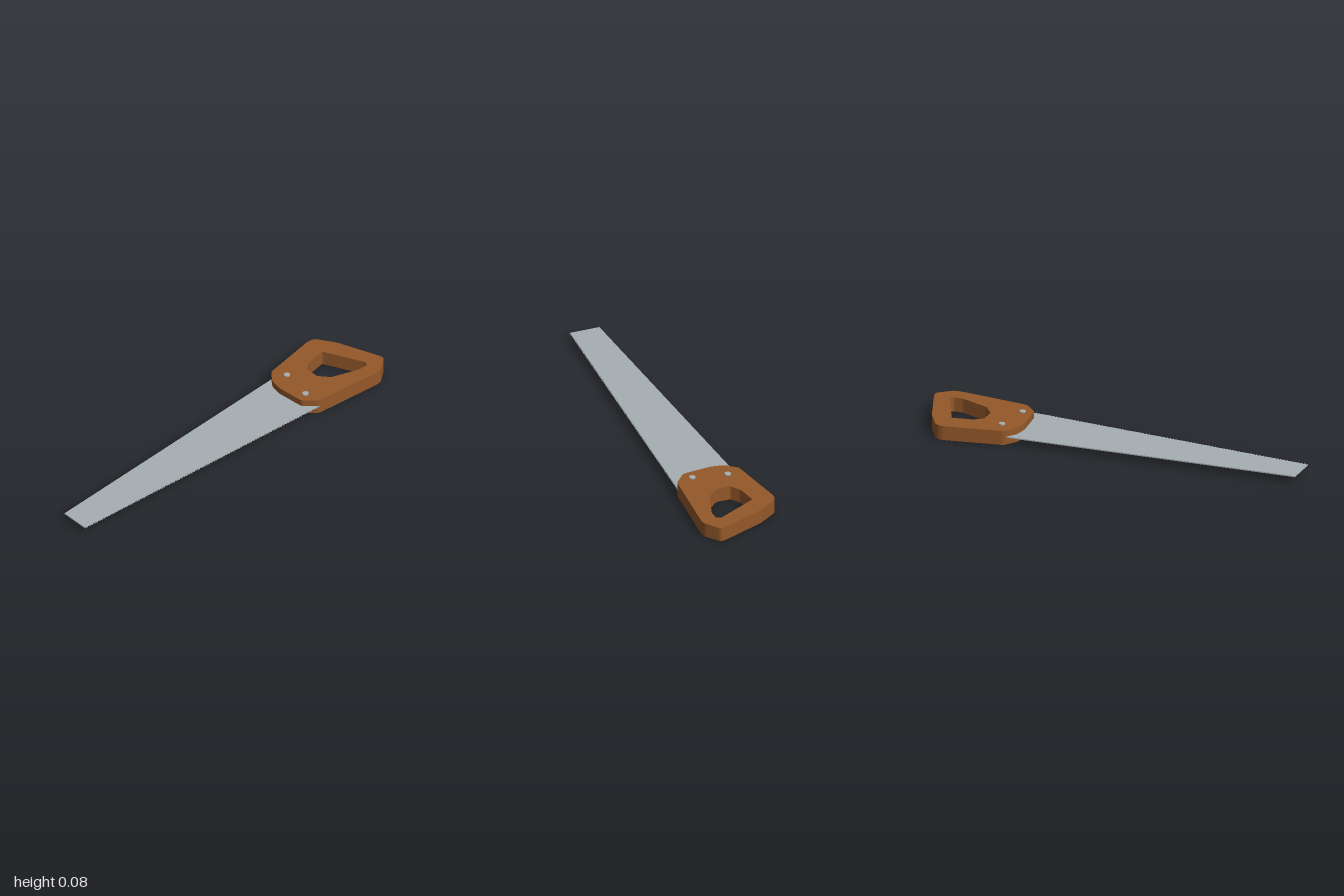
import * as THREE from 'three';

// Closed outline through [x, z] points, with each corner rounded by up to r
function trace(path, points, r) {
  const pts = points.map(([x, z]) => new THREE.Vector2(x, -z));
  const toward = (a, b) => a.clone().lerp(b, Math.min(0.45, r / a.distanceTo(b)));
  pts.forEach((p, i) => {
    const start = toward(p, pts.at(i - 1));
    const end = toward(p, pts[(i + 1) % pts.length]);
    if (i === 0) path.moveTo(start.x, start.y);
    else path.lineTo(start.x, start.y);
    path.quadraticCurveTo(p.x, p.y, end.x, end.y);
  });
  path.closePath();
  return path;
}

// Flat slab lifted between two heights
function slab(name, shape, y0, y1, material) {
  const geo = new THREE.ExtrudeGeometry(shape, { depth: y1 - y0, bevelEnabled: false, curveSegments: 4 });
  geo.rotateX(-Math.PI / 2).translate(0, y0, 0);
  const mesh = new THREE.Mesh(geo, material);
  mesh.name = name;
  return mesh;
}

export function createModel() {
  const wood = new THREE.MeshStandardMaterial({ name: 'brown wood', color: 0x945829 });
  const steel = new THREE.MeshStandardMaterial({ name: 'grey steel', color: 0xa6afb2 });
  const group = new THREE.Group();
  group.name = 'handSaw';

  // Handle with grip opening (the opening runs the opposite way round)
  const handle = trace(new THREE.Shape(), [
    [0.505, -0.137], [0.81, -0.209], [0.845, -0.202], [0.91, -0.107], [1, 0.118], [1.002, 0.142],
    [0.93, 0.203], [0.89, 0.208], [0.53, 0.198], [0.465, 0.142], [0.449, -0.01], [0.46, -0.075],
  ], 0.014);
  handle.holes.push(trace(new THREE.Path(), [
    [0.7, -0.073], [0.655, -0.037], [0.655, 0.037], [0.703, 0.09],
    [0.85, 0.133], [0.9, 0.13], [0.911, 0.107], [0.805, -0.098],
  ], 0.008));
  group.add(slab('handle', handle, 0, 0.076, wood));

  // Tapered blade with a toothed front edge (shape y is -z)
  const blade = new THREE.Shape();
  blade.moveTo(0.55, 0.13);
  blade.lineTo(-1, -0.042);
  const teeth = 95, endX = 0.545, pitch = (endX + 1) / teeth;
  for (let i = 0; i < teeth; i++) {
    const x = -1 + i * pitch;
    blade.lineTo(x, -0.2);
    blade.lineTo(x + pitch / 2, -0.193);
  }
  blade.lineTo(endX, -0.2);
  blade.closePath();
  group.add(slab('blade', blade, 0.036, 0.042, steel));

  // Round screw heads
  for (const [x, z] of [[0.546, -0.064], [0.515, 0.112]]) {
    const screw = new THREE.Mesh(new THREE.CylinderGeometry(0.016, 0.016, 0.012, 12), steel);
    screw.name = 'screw';
    screw.position.set(x, 0.076, z);
    group.add(screw);
  }
  return group;
}
